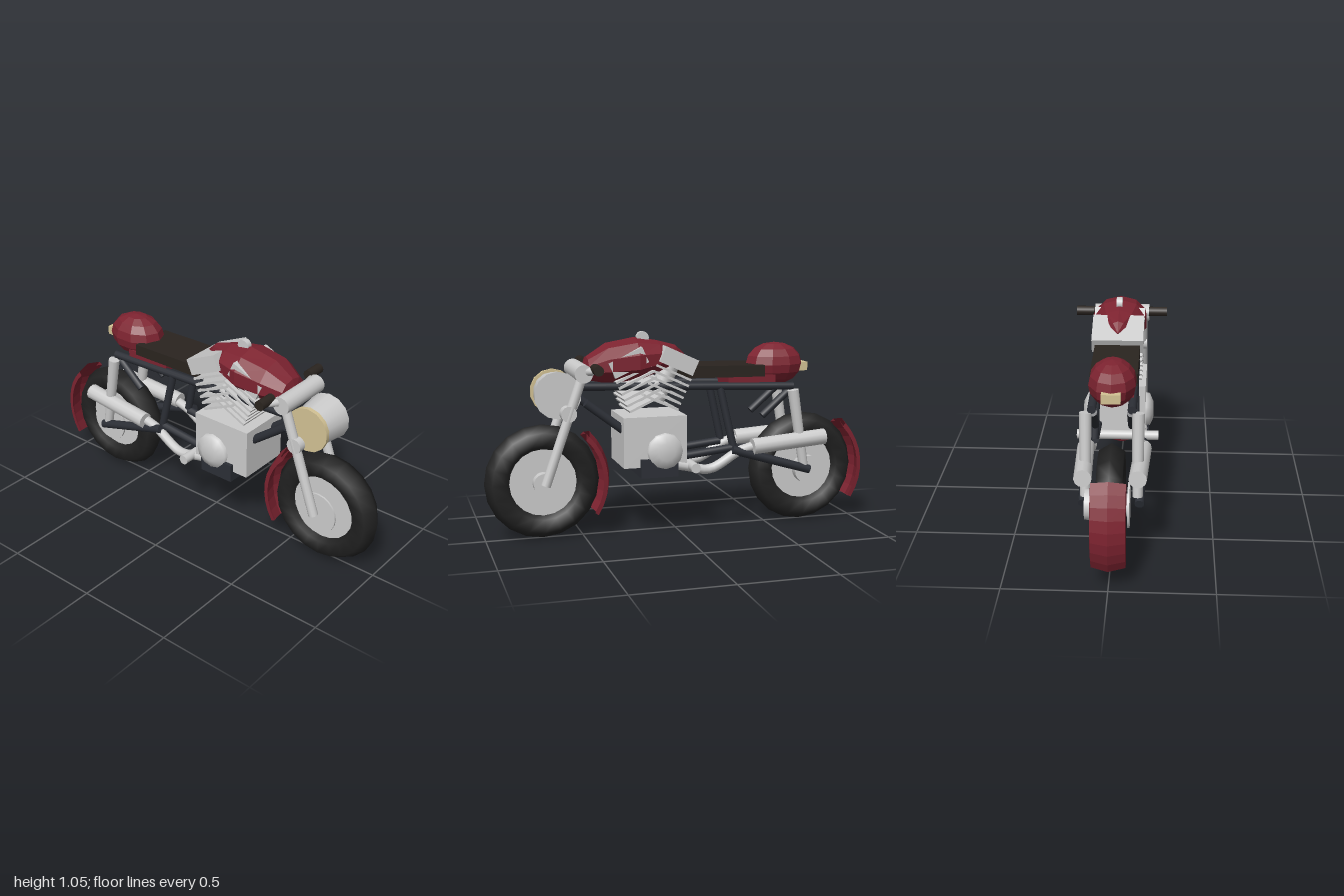
import * as THREE from 'three';

const mat = (color, side = THREE.FrontSide, flatShading = false) =>
  new THREE.MeshStandardMaterial({ color, side, flatShading });
const GREY = mat(0xcccccc), RUBBER = mat(0x222222), FRAME = mat(0x2c2f36), LEATHER = mat(0x2a241f);
const RED = mat(0x7d2330, THREE.DoubleSide, true), LENS = mat(0xd3c294);

export function createModel() {
  const model = new THREE.Group();
  const add = (name, geo, material, x = 0, y = 0, z = 0, parent = model) => {
    const m = new THREE.Mesh(geo, material);
    m.name = name;
    m.position.set(x, y, z);
    parent.add(m);
    return m;
  };
  const box = (name, material, x0, x1, y0, y1, halfZ) =>
    add(name, new THREE.BoxGeometry(x1 - x0, y1 - y0, halfZ * 2), material, (x0 + x1) / 2, (y0 + y1) / 2);
  // Round bar between two points
  const bar = (name, material, a, b, r, r2 = r, sides = 12) => {
    const p = new THREE.Vector3(...a), q = new THREE.Vector3(...b);
    const m = add(name, new THREE.CylinderGeometry(r2, r, p.distanceTo(q), sides), material);
    m.position.copy(p).add(q).multiplyScalar(0.5);
    m.quaternion.setFromUnitVectors(new THREE.Vector3(0, 1, 0), q.sub(p).normalize());
    return m;
  };
  // Same bar on both sides of the machine
  const bars = (name, material, a, b, r, r2) => {
    for (const s of [1, -1])
      bar(name, material, [a[0], a[1], a[2] * s], [b[0], b[1], b[2] * s], r, r2);
  };
  // Disc or drum lying across the machine, from z0 to z1
  const drum = (name, material, x, y, z0, z1, r, r2 = r, sides = 20) =>
    bar(name, material, [x, y, z0], [x, y, z1], r, r2, sides);

  // Wheels and fenders
  const fenderProfile = [[0.305, -0.083], [0.328, -0.08], [0.35, 0], [0.328, 0.08], [0.305, 0.083],
    [0.31, 0.07], [0.33, 0], [0.31, -0.07], [0.305, -0.083]].map(p => new THREE.Vector2(...p));
  const arc = THREE.MathUtils.degToRad(78);
  for (const [end, x] of [['front', 0.705], ['rear', -0.705]]) {
    add(end + 'Tire', new THREE.TorusGeometry(0.225, 0.07, 6, 20), RUBBER, x, 0.3);
    drum(end + 'WheelDisc', GREY, x, 0.3, -0.03, 0.03, 0.175);
    drum(end + 'Hub', GREY, x, 0.3, -0.08, 0.08, 0.055);
    drum(end + 'BrakeDisc', GREY, x, 0.3, 0.08, 0.09, 0.11);
    const fender = new THREE.LatheGeometry(fenderProfile, 8, 0, arc);
    fender.rotateX(Math.PI / 2);
    // Lathe angle zero points down after the turn, so bring the arc over the wheel
    fender.rotateZ(Math.PI / 2 + THREE.MathUtils.degToRad(135));
    fender.computeBoundingBox();
    if (fender.boundingBox.max.y < 0.2) fender.rotateZ(Math.PI);
    add(end + 'Fender', fender, RED, x, 0.3);
  }
  drum('rearSprocket', GREY, -0.705, 0.3, -0.125, -0.08, 0.075);

  // Fork, handlebar and headlight
  bars('forkLeg', GREY, [0.705, 0.3, 0.115], [0.51, 0.85, 0.115], 0.025);
  drum('upperClamp', GREY, 0.51, 0.86, -0.15, 0.15, 0.046);
  drum('lowerClamp', GREY, 0.585, 0.66, -0.138, 0.138, 0.04);
  bars('handlebar', GREY, [0.485, 0.87, 0.13], [0.46, 0.875, 0.21], 0.025, 0.01);
  bars('grip', LEATHER, [0.455, 0.885, 0.15], [0.455, 0.885, 0.248], 0.026);
  drum('headlightShell', GREY, 0.63, 0.75, -0.085, 0.076, 0.12, 0.1, 14);
  drum('headlightLens', LENS, 0.63, 0.75, 0.076, 0.098, 0.115, 0.115, 14);

  // Closed skin through elliptical sections [x, centre y, half height, half width]
  const loft = (sections, sides) => {
    const pos = [], idx = [];
    for (const [x, y, h, w] of sections)
      for (let i = 0; i < sides; i++) {
        const t = i / sides * Math.PI * 2;
        pos.push(x, y + h * Math.cos(t), w * Math.sin(t));
      }
    for (let s = 0; s < sections.length - 1; s++)
      for (let i = 0; i < sides; i++) {
        const a = s * sides + i, b = s * sides + (i + 1) % sides;
        idx.push(a, b, a + sides, b, b + sides, a + sides);
      }
    const g = new THREE.BufferGeometry();
    g.setAttribute('position', new THREE.Float32BufferAttribute(pos, 3));
    g.setIndex(idx);
    g.computeVertexNormals();
    return g;
  };

  // Tank, seat and tail
  add('fuelTank', loft([[-0.05, 0.93, 0, 0], [0.0, 0.928, 0.05, 0.045], [0.1, 0.92, 0.085, 0.115],
    [0.22, 0.907, 0.117, 0.148], [0.37, 0.895, 0.103, 0.138], [0.47, 0.872, 0.06, 0.09],
    [0.49, 0.868, 0, 0]], 10), RED);
  drum('fuelCap', GREY, 0.175, 1.02, -0.015, 0.015, 0.032);
  const seat = new THREE.Shape([[-0.455, 0.81], [-0.04, 0.815], [-0.04, 0.878], [-0.455, 0.868]]
    .map(p => new THREE.Vector2(...p)));
  add('seat', new THREE.ExtrudeGeometry(seat, { depth: 0.23, bevelEnabled: false }), LEATHER, 0, 0, -0.115);
  box('seatBase', RED, -0.52, -0.26, 0.765, 0.815, 0.1);
  const tail = add('tailCowl', new THREE.SphereGeometry(1, 10, 8), RED, -0.547, 0.865);
  tail.scale.set(0.158, 0.113, 0.117);
  box('tailLight', LENS, -0.722, -0.67, 0.825, 0.87, 0.045);

  // Frame tubes, swingarm and shocks
  bars('topRail', FRAME, [-0.62, 0.752, 0.095], [0.52, 0.792, 0.095], 0.021);
  bars('downTube', FRAME, [0.49, 0.705, 0.075], [0.26, 0.53, 0.075], 0.022);
  bars('seatPost', FRAME, [-0.215, 0.76, 0.095], [-0.285, 0.45, 0.105], 0.02);
  bars('seatBrace', FRAME, [-0.6, 0.73, 0.09], [-0.45, 0.6, 0.09], 0.02);
  bars('lowerRail', FRAME, [-0.28, 0.44, 0.105], [0.0, 0.41, 0.105], 0.021);
  bars('swingarm', FRAME, [-0.705, 0.305, 0.135], [-0.27, 0.435, 0.14], 0.023);
  bars('shock', GREY, [-0.61, 0.735, 0.125], [-0.675, 0.33, 0.125], 0.03, 0.025);

  // Crankcase, sump and side covers
  box('crankcase', GREY, -0.022, 0.31, 0.37, 0.63, 0.145);
  box('sump', FRAME, 0.03, 0.225, 0.318, 0.413, 0.165);
  const cover = [[0.095, 0], [0.09, 0.022], [0.045, 0.042], [0, 0.042]].map(p => new THREE.Vector2(...p));
  for (const s of [1, -1])
    add('sideCover', new THREE.LatheGeometry(cover, 12), GREY, 0.095, 0.45, 0.143 * s).rotation.x = s * Math.PI / 2;

  // Twin finned cylinders leaning apart
  for (const s of [1, -1]) {
    const cyl = new THREE.Group();
    cyl.name = s > 0 ? 'rearCylinder' : 'frontCylinder';
    cyl.position.set(0.145 - s * 0.132, 0.907, 0);
    cyl.rotation.z = s * THREE.MathUtils.degToRad(24.5);
    add('cylinderHead', new THREE.BoxGeometry(0.19, 0.085, 0.264), GREY, 0, 0, 0, cyl);
    for (let i = 0; i < 6; i++)
      add('coolingFin', new THREE.BoxGeometry(0.2, 0.012, 0.25), GREY, 0, -0.065 - i * 0.033, 0, cyl);
    add('barrel', new THREE.CylinderGeometry(0.05, 0.05, 0.23, 12), GREY, 0, -0.125, 0, cyl);
    model.add(cyl);
  }

  // Exhausts and foot pegs
  for (const s of [1, -1]) {
    const path = new THREE.CatmullRomCurve3([[-0.38, 0.445], [-0.31, 0.425], [-0.15, 0.34], [-0.03, 0.36], [0.06, 0.38]]
      .map(([x, y]) => new THREE.Vector3(x, y, 0.13 * s)));
    add('exhaustPipe', new THREE.TubeGeometry(path, 16, 0.025, 10), GREY);
  }
  bars('muffler', GREY, [-0.79, 0.478, 0.128], [-0.38, 0.447, 0.143], 0.043);
  drum('footPegs', GREY, -0.05, 0.365, -0.215, 0.215, 0.025);

  return model;
}
